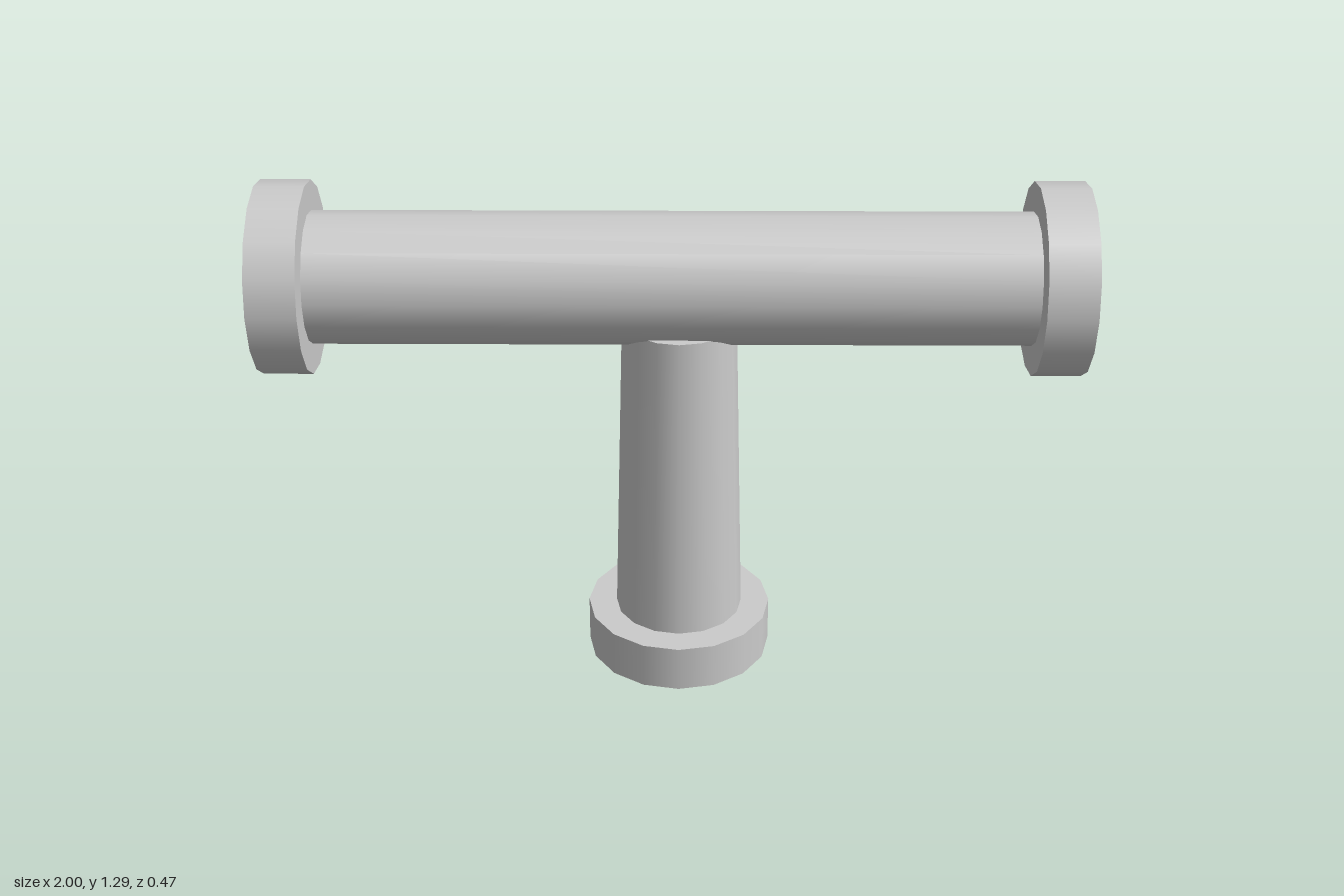
import * as THREE from 'three';

const SIDES = 16;
const PIPE_R = 0.163;
const FLANGE_R = 0.237;
const FLANGE_T = 0.122;
const AXIS_Y = 1.057;
const STEM_X = 0.018;

export function createModel() {
  const group = new THREE.Group();
  const material = new THREE.MeshStandardMaterial({ color: 0xcccccc });

  const cylinder = (name, rTop, rBottom, length, x, y, horizontal) => {
    const geometry = new THREE.CylinderGeometry(rTop, rBottom, length, SIDES);
    if (horizontal) geometry.rotateZ(Math.PI / 2);
    const mesh = new THREE.Mesh(geometry, material);
    mesh.name = name;
    mesh.position.set(x, y, 0);
    group.add(mesh);
  };

  // Horizontal main pipe with a flange on each end
  cylinder('mainPipe', PIPE_R, PIPE_R, 2 - 2 * FLANGE_T, 0, AXIS_Y, true);
  for (const [name, side] of [['leftFlange', 1], ['rightFlange', -1]]) {
    cylinder(name, FLANGE_R, FLANGE_R, FLANGE_T, side * (1 - FLANGE_T / 2), AXIS_Y, true);
  }

  // Branch pipe, slightly tapered, running up into the main pipe
  const stemTop = 0.945;
  cylinder('branchPipe', 0.142, 0.164, stemTop - FLANGE_T, STEM_X, (stemTop + FLANGE_T) / 2, false);
  cylinder('baseFlange', FLANGE_R, FLANGE_R, FLANGE_T, STEM_X, FLANGE_T / 2, false);

  return group;
}
